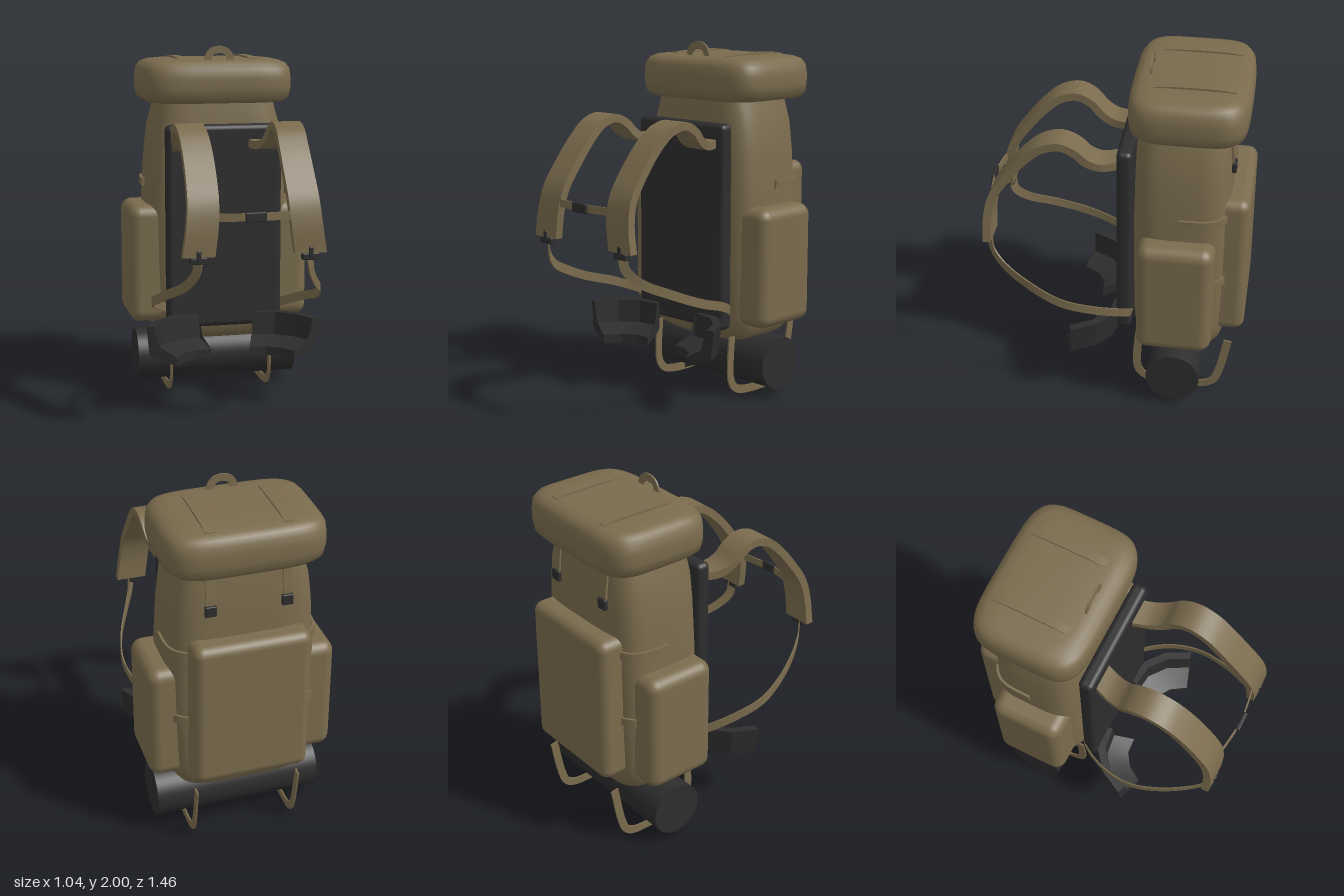
import * as THREE from 'three';
import { toCreasedNormals } from 'three/addons/utils/BufferGeometryUtils.js';
import { RoundedBoxGeometry } from 'three/addons/geometries/RoundedBoxGeometry.js';

const V = (x, y, z) => new THREE.Vector3(x, y, z);

// Joins matching closed sections into a capped solid with outward faces.
function loft(sections, crease) {
  const n = sections[0].length, verts = sections.flat(), tris = [];
  for (let i = 0; i < sections.length - 1; i++) {
    for (let j = 0; j < n; j++) {
      const a = i * n + j, b = i * n + (j + 1) % n;
      tris.push([a, b, b + n], [a, b + n, a + n]);
    }
  }
  [0, sections.length - 1].forEach((s, end) => {
    const mid = V(0, 0, 0);
    sections[s].forEach((p) => mid.addScaledVector(p, 1 / n));
    const c = verts.push(mid) - 1;
    for (let j = 0; j < n; j++) {
      const a = s * n + j, b = s * n + (j + 1) % n;
      tris.push(end ? [c, a, b] : [c, b, a]);
    }
  });
  let volume = 0;
  for (const [a, b, c] of tris) volume += verts[a].dot(verts[b].clone().cross(verts[c]));
  const geo = new THREE.BufferGeometry().setFromPoints(verts);
  geo.setIndex(tris.flatMap(([a, b, c]) => (volume < 0 ? [a, c, b] : [a, b, c])));
  return toCreasedNormals(geo, crease);
}

// Strap along a smooth path; axis, along and across may vary with t.
function strap(points, axis, along, across, steps = 40) {
  const curve = new THREE.CatmullRomCurve3(points);
  const at = (v, t) => (typeof v === 'function' ? v(t) : v);
  const sections = [];
  for (let i = 0; i <= steps; i++) {
    const t = i / steps, p = curve.getPointAt(t), u = at(axis, t);
    const w = curve.getTangentAt(t).cross(u).normalize();
    const h = at(along, t) / 2, k = at(across, t) / 2;
    sections.push([[1, 1], [-1, 1], [-1, -1], [1, -1]].map(([a, b]) =>
      p.clone().addScaledVector(u, a * h).addScaledVector(w, b * k)));
  }
  return loft(sections, 0.7);
}

// Point on a soft rectangular outline.
function outline(a, b, y, zc, angle, power) {
  const f = (v) => Math.sign(v) * Math.abs(v) ** (2 / power);
  return V(a * f(Math.cos(angle)), y, zc + b * f(Math.sin(angle)));
}

// Padded volume from rings of [y, half width, half depth].
function padded(rings, zc, power) {
  return loft(rings.map(([y, a, b]) => Array.from({ length: 56 }, (_, i) =>
    outline(a, b, y, zc, (i / 56) * Math.PI * 2, power))), 1.0);
}

export function createModel() {
  const canvas = new THREE.MeshStandardMaterial({ color: 0x7a6b4d });
  canvas.name = 'olive canvas';
  const black = new THREE.MeshStandardMaterial({ color: 0x2d2d2e });
  black.name = 'black padding';
  const group = new THREE.Group();
  group.name = 'backpack';
  const add = (name, geo, mat, x = 0, y = 0, z = 0) => {
    const mesh = new THREE.Mesh(geo, mat);
    mesh.name = name;
    mesh.position.set(x, y, z);
    group.add(mesh);
    return mesh;
  };
  const box = (w, h, d, r) => new RoundedBoxGeometry(w, h, d, 4, r);
  const X = V(1, 0, 0), Y = V(0, 1, 0), Z = V(0, 0, 1);

  // Main sack and lid
  add('mainSack', padded([
    [0.31, 0.18, 0.11], [0.32, 0.28, 0.18], [0.35, 0.345, 0.225], [0.4, 0.38, 0.25],
    [0.48, 0.395, 0.26], [0.75, 0.405, 0.265], [1.1, 0.408, 0.267], [1.4, 0.388, 0.262],
    [1.55, 0.37, 0.257], [1.64, 0.345, 0.247], [1.74, 0.32, 0.235],
  ], -0.362, 4.2), canvas);
  add('lid', padded([
    [1.678, 0.34, 0.25], [1.685, 0.39, 0.288], [1.71, 0.42, 0.31], [1.76, 0.43, 0.317],
    [1.82, 0.43, 0.317], [1.87, 0.423, 0.311], [1.9, 0.403, 0.292], [1.916, 0.365, 0.26],
    [1.923, 0.3, 0.21], [1.927, 0.15, 0.1],
  ], -0.382, 4.8), canvas);

  // Padded back panel and pockets
  add('backPanel', box(0.66, 1.15, 0.085, 0.03), black, 0, 0.995, -0.058);
  add('backPocket', box(0.64, 0.85, 0.2, 0.055), canvas, 0, 0.885, -0.63);

  // Carry handle: flat half ring
  add('carryHandle', strap([
    V(-0.065, 1.91, -0.165), V(-0.062, 1.94, -0.165), V(-0.042, 1.968, -0.165), V(0, 1.98, -0.165),
    V(0.042, 1.968, -0.165), V(0.062, 1.94, -0.165), V(0.065, 1.91, -0.165),
  ], Z, 0.01, 0.04), canvas);

  // Bedroll
  const roll = add('bedroll', new THREE.CylinderGeometry(0.15, 0.15, 0.935, 48), black, 0, 0.2, -0.355);
  roll.rotation.z = Math.PI / 2;

  // Chest strap and buckle
  add('chestStrap', strap([
    V(-0.27, 1.17, 0.675), V(-0.14, 1.17, 0.7), V(0, 1.17, 0.713), V(0.14, 1.17, 0.7), V(0.27, 1.17, 0.675),
  ], Y, 0.042, 0.008), canvas);
  add('chestBuckle', box(0.11, 0.052, 0.022, 0.006), black, 0, 1.17, 0.718);

  for (const s of [1, -1]) {
    const side = s > 0 ? 'left' : 'right';
    const path = (list) => list.map(([x, y, z]) => V(s * x, y, z));

    add(side + 'SidePocket', box(0.26, 0.675, 0.415, 0.065), canvas, s * 0.39, 0.767, -0.353);

    // Shoulder strap with lower webbing and adjuster
    add(side + 'ShoulderStrap', strap(path([
      [0.2, 1.465, -0.04], [0.235, 1.462, 0.07], [0.255, 1.495, 0.14], [0.265, 1.555, 0.2],
      [0.268, 1.59, 0.28], [0.265, 1.565, 0.38], [0.26, 1.49, 0.47], [0.26, 1.37, 0.57],
      [0.265, 1.24, 0.655], [0.275, 1.12, 0.685], [0.295, 0.97, 0.69],
    ]), X, (t) => 0.145 + 0.025 * t, 0.045, 60), canvas);
    add(side + 'Adjuster', box(0.09, 0.035, 0.04, 0.006), black, s * 0.295, 0.952, 0.695);
    add(side + 'AdjusterTab', box(0.025, 0.06, 0.02, 0.006), black, s * 0.295, 0.975, 0.71);
    add(side + 'LowerWebbing', strap(path([
      [0.295, 0.96, 0.69], [0.305, 0.88, 0.68], [0.345, 0.805, 0.615], [0.42, 0.725, 0.45],
      [0.458, 0.655, 0.27], [0.43, 0.605, 0.1], [0.36, 0.55, -0.04], [0.31, 0.52, -0.1],
    ]), (t) => {
      const angle = 0.9 - 1.6 * t;
      return V(s * Math.cos(angle), 0, Math.sin(angle));
    }, 0.008, 0.05, 50), canvas);

    // Hip wing: upright wall with an inward-flaring foot
    const stations = [
      [0.17, -0.03, 0.11, 0.13], [0.31, -0.01, 0.2, 0.135], [0.42, 0.08, 0.275, 0.185], [0.49, 0.215, 0.33, 0.27],
    ];
    const profile = [[0, 0.5], [0.25, 0.5], [0.3, 0.37], [1, 0.33], [1, 0.28], [0.1, 0.335]];
    add(side + 'HipWing', loft(stations.map(([ox, oz, ix, iz]) => profile.map(([f, y]) =>
      V(s * (ox + (ix - ox) * f), y, oz + (iz - oz) * f))), 0.35), black);

    // Bedroll sling
    add(side + 'BedrollSling', strap(path([
      [0.29, 0.36, -0.143], [0.29, 0.2, -0.132], [0.29, 0.1, -0.14], [0.29, 0.05, -0.18], [0.29, 0.03, -0.26],
      [0.29, 0.026, -0.4], [0.29, 0.032, -0.52], [0.29, 0.065, -0.575], [0.29, 0.14, -0.605], [0.29, 0.36, -0.648],
    ]), X, 0.01, 0.046, 50), canvas);

    // Lid straps, and closing straps with buckles at the back
    add(side + 'LidStrap', strap(path([
      [0.205, 1.919, -0.19], [0.205, 1.927, -0.26], [0.205, 1.93, -0.4], [0.205, 1.927, -0.55], [0.205, 1.917, -0.62],
    ]), X, 0.048, 0.012), canvas);
    add(side + 'ClosingStrap', strap(path([
      [0.205, 1.7, -0.603], [0.205, 1.62, -0.611], [0.205, 1.55, -0.619], [0.205, 1.47, -0.624],
    ]), X, 0.045, 0.012), canvas);
    add(side + 'ClosingBuckle', box(0.06, 0.06, 0.025, 0.006), black, s * 0.205, 1.48, -0.629);

    // Compression straps wrapping from the side to the back pocket
    for (const [name, y, a, b] of [['Upper', 1.215, 0.408, 0.269], ['Lower', 0.812, 0.411, 0.27]]) {
      const points = Array.from({ length: 13 }, (_, i) => {
        const p = outline(a, b, y, -0.362, -(i / 12) * 1.1, 4.2);
        return V(s * p.x, p.y, p.z);
      });
      add(side + name + 'CompressionStrap', strap(points, Y, 0.046, 0.014), canvas);
    }
  }
  return group;
}
